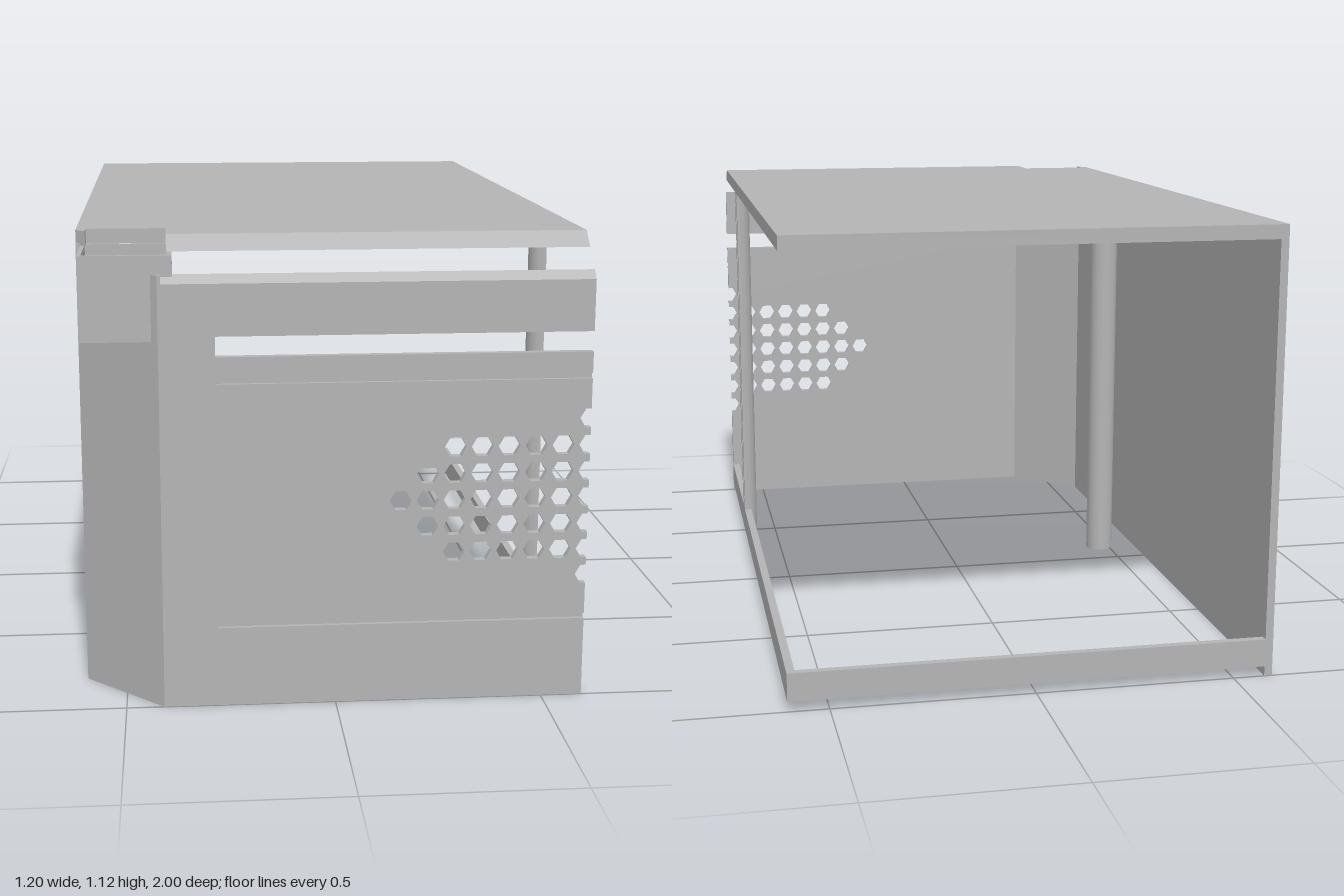
import * as THREE from 'three';
import { toCreasedNormals } from 'three/addons/utils/BufferGeometryUtils.js';

export function createModel() {
  const model = new THREE.Group();
  const grey = new THREE.MeshStandardMaterial({ color: 0xb4b4b4 });
  grey.name = 'light grey';

  const add = (name, geometry) => {
    const mesh = new THREE.Mesh(geometry, grey);
    mesh.name = name;
    model.add(mesh);
    return mesh;
  };
  const polygon = (points) => new THREE.Shape(points.map(([a, b]) => new THREE.Vector2(a, b)));
  const extrude = (shape, depth) =>
    new THREE.ExtrudeGeometry(shape, { depth, bevelEnabled: false, curveSegments: 24 });

  // Upright part from a floor plan (x, -z), between two heights
  const upright = (name, shape, y0, y1) => {
    const g = extrude(shape, y1 - y0).rotateX(-Math.PI / 2).translate(0, y0, 0);
    return add(name, toCreasedNormals(g, 0.6));
  };
  const plan = (points) => polygon(points.map(([x, z]) => [x, -z]));
  const rect = (x0, x1, z0, z1) => plan([[x0, z0], [x0, z1], [x1, z1], [x1, z0]]);

  // Long bar along x with a (z, y) section
  const barAlongX = (name, section, x0, x1) => {
    const g = extrude(polygon(section.map(([z, y]) => [-z, y])), x1 - x0);
    return add(name, g.rotateY(Math.PI / 2).translate(x0, 0, 0));
  };

  // Side wall, slanted corner wall
  upright('sideWall', rect(-0.6, -0.58, -1, 0.81), 0, 1.09);
  upright('cornerWall', plan([[-0.6, 0.8], [-0.6, 0.81], [-0.41, 1], [-0.402, 1],
    [-0.402, 0.98], [-0.58, 0.802], [-0.58, 0.8]]), 0, 1.04);

  // Top plate with a notch above the corner sleeve, and its sloped front edge
  upright('topPlate', plan([[-0.6, -1], [-0.6, 0.8], [-0.577, 0.823], [-0.577, 0.78],
    [-0.388, 0.78], [-0.388, 0.89], [0.6, 0.89], [0.6, -1]]), 1.085, 1.12);
  barAlongX('topPlateSlope', [[0.89, 1.085], [0.93, 1.085], [0.89, 1.12]], -0.388, 0.6);

  // Open square sleeve around the corner
  const sleeve = rect(-0.59, -0.375, 0.775, 0.985);
  sleeve.holes.push(rect(-0.58, -0.385, 0.785, 0.975));
  upright('cornerSleeve', sleeve, 0.885, 1.084);

  // Front panel: hexagon vents, one long slot and two shallow grooves open to the right edge
  const R = 0.026, H = R * 0.866, pitch = 0.064, midY = 0.499, right = 0.6;
  const vents = [];
  const notches = [];
  const slotNotch = (y0, y1) => ({ y: y0, points: [[right, y0], [-0.28, y0], [-0.28, y1], [right, y1]] });
  for (let row = -3; row <= 3; row++) {
    const y = midY + row * pitch;
    notches.push({ y, points: [[right, y - H], [right - R / 2, y - H], [right - R, y],
      [right - R / 2, y + H], [right, y + H]] });
    const count = Math.abs(row) === 3 ? 0 : 7 - Math.abs(row);
    for (let i = 1; i <= count; i++) vents.push([right - i * pitch, y]);
  }
  notches.push(slotNotch(0.85, 0.898));
  const grooves = [slotNotch(0.195, 0.208), slotNotch(0.786, 0.799)];

  const panelLayer = (name, cuts, z) => {
    const edge = [...cuts].sort((a, b) => a.y - b.y).flatMap((n) => n.points);
    const shape = polygon([[-0.41, 0], [right, 0], ...edge, [right, 1.02], [-0.41, 1.02]]);
    for (const [x, y] of vents) {
      const hex = [];
      for (let k = 0; k < 6; k++) {
        const a = -k * Math.PI / 3;
        hex.push([x + R * Math.cos(a), y + R * Math.sin(a)]);
      }
      shape.holes.push(polygon(hex));
    }
    add(name, extrude(shape, 0.01).translate(0, 0, z));
  };
  panelLayer('frontPanelBack', notches, 0.98);
  panelLayer('frontPanelFace', [...notches, ...grooves], 0.99);
  barAlongX('frontPanelSlope', [[0.98, 1.02], [1, 1.02], [0.98, 1.04]], -0.41, 0.6);

  // Bottom rails on the open right and back sides
  upright('rightRail', rect(0.58, 0.6, -1, 0.98), 0.025, 0.095);
  upright('backRail', rect(-0.58, 0.58, -1, -0.98), 0.025, 0.095);

  // Hollow post, and the half post on the open right side
  const post = new THREE.Shape().absarc(-0.45, -0.04, 0.038, 0, Math.PI * 2);
  post.holes.push(new THREE.Path().absarc(-0.45, -0.04, 0.017, 0, Math.PI * 2, true));
  upright('post', post, 0.025, 1.085);

  const half = new THREE.Shape();
  half.absarc(0.6, -0.442, 0.039, Math.PI / 2, Math.PI * 1.5, false);
  half.absarc(0.6, -0.442, 0.017, Math.PI * 1.5, Math.PI / 2, true);
  upright('halfPost', half, 0.025, 1.085);

  return model;
}
